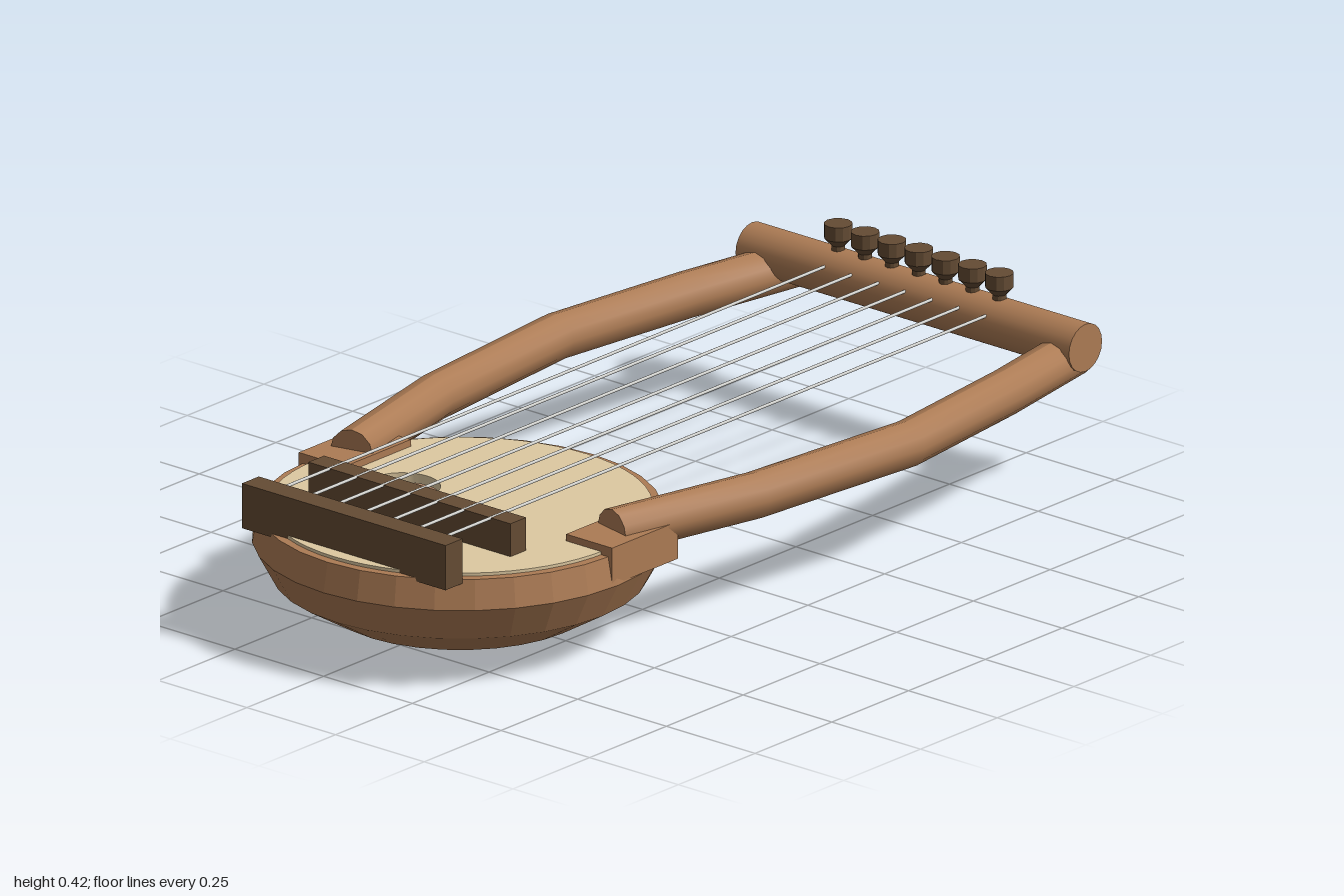
import * as THREE from 'three';
import { toCreasedNormals } from 'three/addons/utils/BufferGeometryUtils.js';

const mat = (name, color) => new THREE.MeshStandardMaterial({ name, color });

export function createModel() {
  const wood = mat('brown wood', 0xac7b54);
  const boardMat = mat('pale soundboard', 0xdec9a1);
  const dark = mat('dark wood', 0x654c34);
  const stringMat = mat('string silver', 0xd2d2ce);

  const model = new THREE.Group();
  model.name = 'lyre';
  const add = (name, geometry, material, x = 0, y = 0, z = 0) => {
    const mesh = new THREE.Mesh(geometry, material);
    mesh.name = name;
    mesh.position.set(x, y, z);
    model.add(mesh);
    return mesh;
  };
  // Faceted turned shape
  const lathe = (points, sides) => toCreasedNormals(
    new THREE.LatheGeometry(points.map(([r, y]) => new THREE.Vector2(r, y)), sides), 0.05);

  // Hollow bowl: outside, rim, then inside
  const bowlZ = 0.555;
  add('bowl', lathe([
    [0, 0], [0.145, 0], [0.287, 0.041], [0.402, 0.11], [0.445, 0.19], [0.432, 0.256],
    [0.405, 0.256], [0.415, 0.19], [0.375, 0.125], [0.265, 0.065], [0.135, 0.03], [0, 0.03],
  ], 32), wood, 0, 0, bowlZ);

  // Soundboard with an off-centre sound hole
  const disc = new THREE.Shape().absarc(0, 0, 0.411, 0, Math.PI * 2);
  disc.holes.push(new THREE.Path().absarc(-0.168, 0.005, 0.082, 0, Math.PI * 2, true));
  const board = new THREE.ExtrudeGeometry(disc, { depth: 0.022, bevelEnabled: false, curveSegments: 32 });
  board.rotateX(-Math.PI / 2);
  add('soundboard', toCreasedNormals(board, 0.6), boardMat, 0, 0.241, bowlZ);

  // Bowed arms: each ring of a cylinder is moved onto the bent path
  const path = [[0.367, 0.485], [0.452, 0.12], [0.495, -0.33], [0.45, -0.7], [0.4, -0.987]];
  const armGeometry = (side) => {
    const last = path.length - 1;
    const geometry = new THREE.CylinderGeometry(0.051, 0.051, last, 12, last);
    geometry.rotateX(-Math.PI / 2); // top of the cylinder now points to -z
    const p = geometry.attributes.position;
    for (let i = 0; i < p.count; i++) {
      const row = Math.round(last / 2 - p.getZ(i));
      const a = path[Math.max(row - 1, 0)], b = path[Math.min(row + 1, last)];
      const angle = Math.atan2(b[0] - a[0], a[1] - b[1]) * side;
      const dx = p.getX(i);
      p.setX(i, path[row][0] * side + dx * Math.cos(angle));
      p.setZ(i, path[row][1] + dx * Math.sin(angle));
    }
    geometry.computeVertexNormals();
    return geometry;
  };
  for (const [label, side] of [['left', 1], ['right', -1]]) {
    add(label + 'Arm', armGeometry(side), wood, 0, 0.273, 0);
    add(label + 'ShoulderBlock', new THREE.BoxGeometry(0.13, 0.085, 0.215), wood, side * 0.377, 0.236, 0.463);
  }

  // Crossbar over the arm ends
  const bar = new THREE.CylinderGeometry(0.054, 0.054, 0.94, 20);
  bar.rotateZ(Math.PI / 2);
  add('crossbar', bar, wood, 0, 0.311, -0.939);

  // Bridge and tailpiece
  add('bridge', new THREE.BoxGeometry(0.57, 0.077, 0.051), dark, 0, 0.2995, 0.695);
  add('tailpiece', new THREE.BoxGeometry(0.574, 0.102, 0.055), dark, 0, 0.299, 0.907);

  // Tuning pegs and strings
  const peg = lathe([[0, 0.34], [0.015, 0.34], [0.015, 0.374], [0.031, 0.391], [0.031, 0.423], [0, 0.423]], 12);
  const string = new THREE.CylinderGeometry(0.0036, 0.0036, 1.83, 8);
  string.rotateX(Math.PI / 2);
  for (let i = 0; i < 7; i++) {
    const x = (i - 3) * 0.0757;
    add('tuningPeg' + (i + 1), peg, dark, x, 0, -0.939);
    add('string' + (i + 1), string, stringMat, x, 0.3365, -0.025);
  }
  return model;
}
